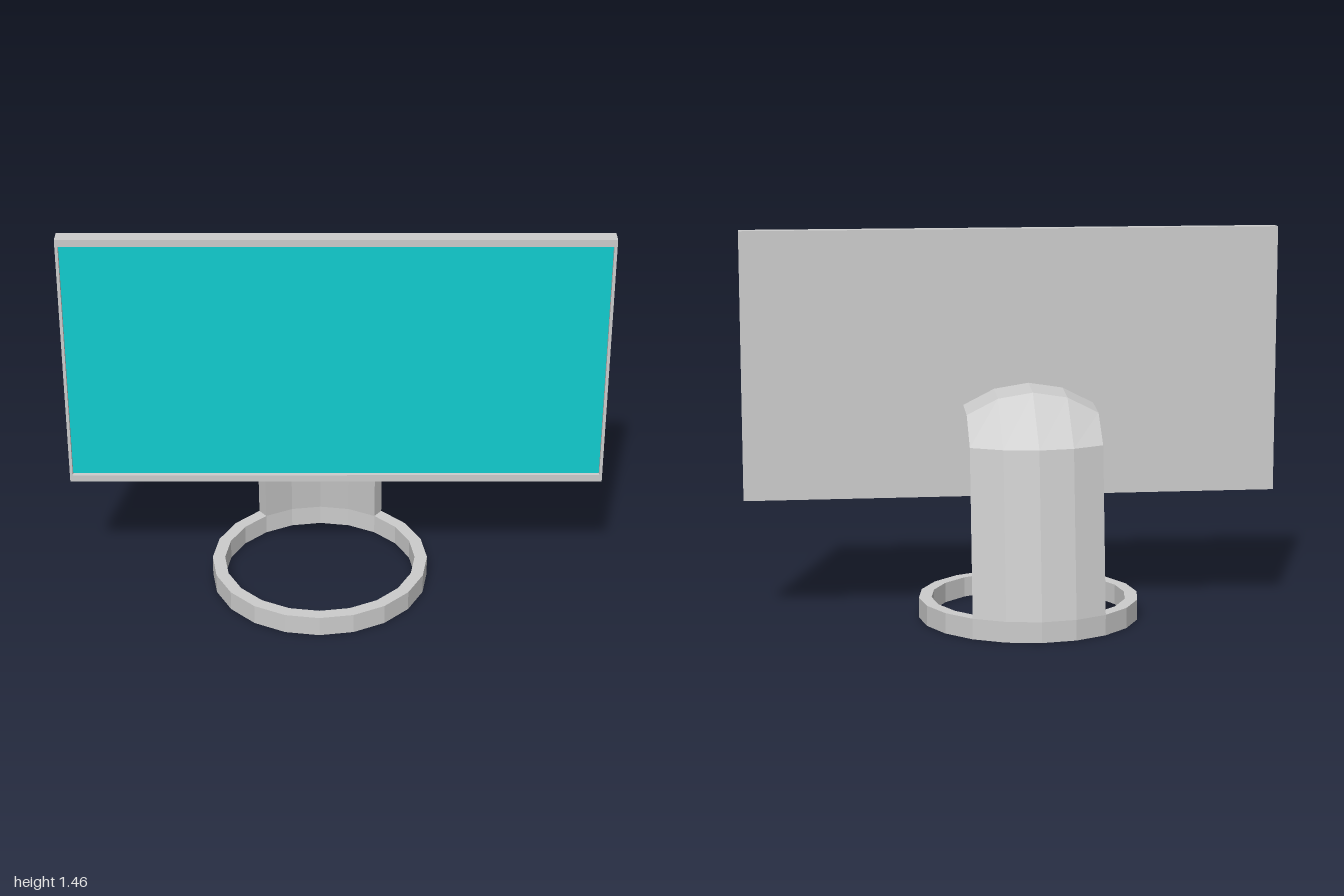
import * as THREE from 'three';

const CENTRE_X = -0.0625; // the stand sits slightly off the middle
const OUTER = 0.415, INNER = 0.367, BASE_H = 0.077;
const SIDES = 20;

const grey = new THREE.MeshStandardMaterial({ color: 0xcccccc, flatShading: true });
const teal = new THREE.MeshStandardMaterial({ color: 0x10cccf });

function addMesh(parent, name, geometry, material = grey) {
  const mesh = new THREE.Mesh(geometry, material);
  mesh.name = name;
  parent.add(mesh);
  return mesh;
}

// Curved plate swept through sections that turn from lying flat to standing upright
function armGeometry() {
  const step = (2 * Math.PI) / SIDES;
  const loop = [];
  for (let i = -2; i <= 2; i++) loop.push([OUTER, i * step]);
  for (let i = 2; i >= -2; i--) loop.push([INNER, i * step]);

  const sections = [
    (c) => [BASE_H, -c],
    (c) => [0.69, 0.088 - c],
    (c) => [0.455 + c, -0.13],
    (c) => [0.471 + c, 0.01],
  ];
  const positions = [], index = [], n = loop.length;
  sections.forEach((place, s) => {
    loop.forEach(([r, a], j) => {
      positions.push(CENTRE_X + r * Math.sin(a), ...place(r * Math.cos(a)));
      if (s === sections.length - 1) return;
      const p = s * n + j, q = s * n + ((j + 1) % n);
      index.push(p, p + n, q, q, p + n, q + n);
    });
  });
  const geometry = new THREE.BufferGeometry();
  geometry.setAttribute('position', new THREE.Float32BufferAttribute(positions, 3));
  geometry.setIndex(index);
  geometry.computeVertexNormals();
  return geometry;
}

export function createModel() {
  const model = new THREE.Group();
  model.name = 'monitor';

  // Ring base
  const profile = [[INNER, 0], [OUTER, 0], [OUTER, BASE_H], [INNER, BASE_H], [INNER, 0]]
    .map(([r, y]) => new THREE.Vector2(r, y));
  addMesh(model, 'baseRing', new THREE.LatheGeometry(profile, SIDES)).position.x = CENTRE_X;

  // Bent arm rising from the back of the ring
  addMesh(model, 'standArm', armGeometry());

  // Display: back panel, bezel around a shallow recess, and the screen inside it
  const display = new THREE.Group();
  display.name = 'display';
  display.position.set(0, 0.96, 0.008);
  model.add(display);

  const back = 0.042, bezelDepth = 0.018;
  addMesh(display, 'backPanel', new THREE.BoxGeometry(2, 1, back)).position.z = back / 2;

  const rect = (shape, w, h) => shape.moveTo(-w, -h).lineTo(w, -h).lineTo(w, h).lineTo(-w, h).closePath();
  const outline = rect(new THREE.Shape(), 1, 0.5);
  outline.holes.push(rect(new THREE.Path(), 0.989, 0.473));
  const bezel = new THREE.ExtrudeGeometry(outline, { depth: bezelDepth, bevelEnabled: false });
  addMesh(display, 'bezel', bezel).position.z = back;

  addMesh(display, 'screen', new THREE.PlaneGeometry(1.978, 0.946), teal).position.z = back + 0.001;

  return model;
}
